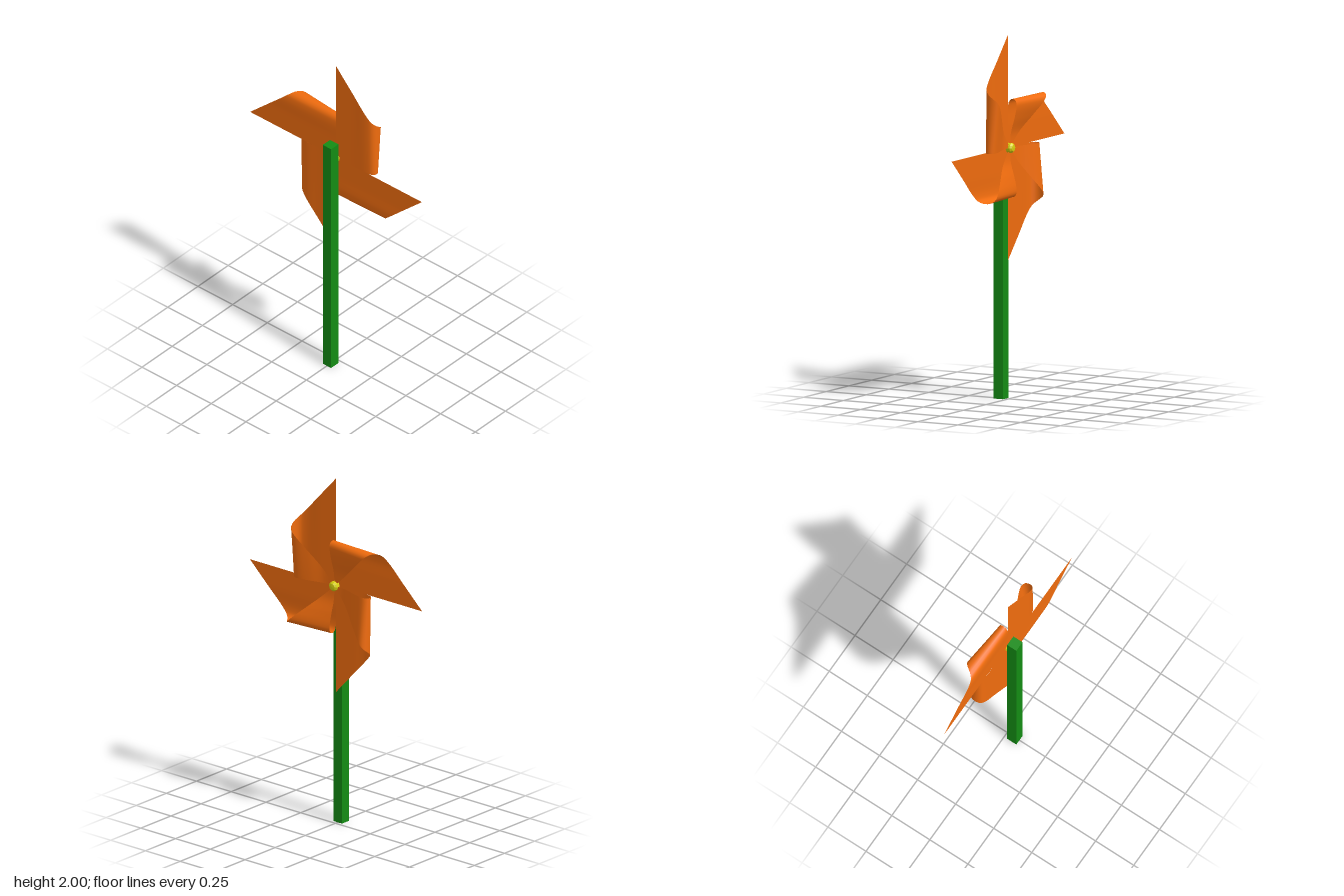
import * as THREE from 'three';

const HUB_Y = 1.38;   // height of the spinning axis
const REACH = 0.62;   // hub to blade tip
const orange = new THREE.MeshStandardMaterial({ color: 0xf06c0e, side: THREE.DoubleSide });
const green = new THREE.MeshStandardMaterial({ color: 0x148c14 });
const yellow = new THREE.MeshStandardMaterial({ color: 0xd8d010, flatShading: true });

// One paper triangle, rolled so that its free corner returns to the hub
function bladeGeometry(rollSteps = 48, lengthSteps = 16) {
  // Cross-section of the roll: x is depth, z is sideways
  const profile = new THREE.CatmullRomCurve3([
    [0, 0], [0, 0.12], [0, 0.22], [0.006, 0.253], [0.022, 0.268], [0.04, 0.267],
    [0.053, 0.25], [0.053, 0.22], [0.04, 0.16], [0.018, 0.08], [0.012, 0],
  ].map(([x, z]) => new THREE.Vector3(x, 0, z)));
  const position = [], index = [];
  for (let i = 0; i <= rollSteps; i++) {
    const f = i / rollSteps;
    const p = profile.getPointAt(f);
    const length = REACH * Math.max(1 - f, 0.002);
    for (let j = 0; j <= lengthSteps; j++) {
      const t = (length * j) / lengthSteps;
      // The roll opens out away from the hub
      position.push(p.x * (1 + 1.85 * t) - 0.005, t, p.z);
      if (i < rollSteps && j < lengthSteps) {
        const a = i * (lengthSteps + 1) + j, b = a + lengthSteps + 1;
        index.push(a, a + 1, b, b, a + 1, b + 1);
      }
    }
  }
  const geometry = new THREE.BufferGeometry();
  geometry.setAttribute('position', new THREE.Float32BufferAttribute(position, 3));
  geometry.setIndex(index);
  geometry.computeVertexNormals();
  return geometry;
}

export function createModel() {
  const model = new THREE.Group();
  model.name = 'pinwheel';

  // Square stick behind the wheel
  const stick = new THREE.Mesh(new THREE.BoxGeometry(0.06, 1.49, 0.06), green);
  stick.name = 'stick';
  stick.position.set(-0.05, 0.745, 0);
  model.add(stick);

  // Four rolled blades around the x axis
  const wheel = new THREE.Group();
  wheel.name = 'wheel';
  wheel.position.y = HUB_Y;
  const geometry = bladeGeometry();
  for (let k = 0; k < 4; k++) {
    const blade = new THREE.Mesh(geometry, orange);
    blade.name = `blade${k + 1}`;
    blade.rotation.x = (k * Math.PI) / 2;
    wheel.add(blade);
  }

  // Pin through the centre with a bevelled head
  const pinProfile = [[0, -0.025], [0.026, -0.025], [0.028, 0.02], [0.019, 0.03], [0, 0.032]]
    .map(([r, y]) => new THREE.Vector2(r, y));
  const pin = new THREE.Mesh(new THREE.LatheGeometry(pinProfile, 10), yellow);
  pin.name = 'hubPin';
  pin.rotation.z = -Math.PI / 2;
  wheel.add(pin);
  model.add(wheel);

  return model;
}
